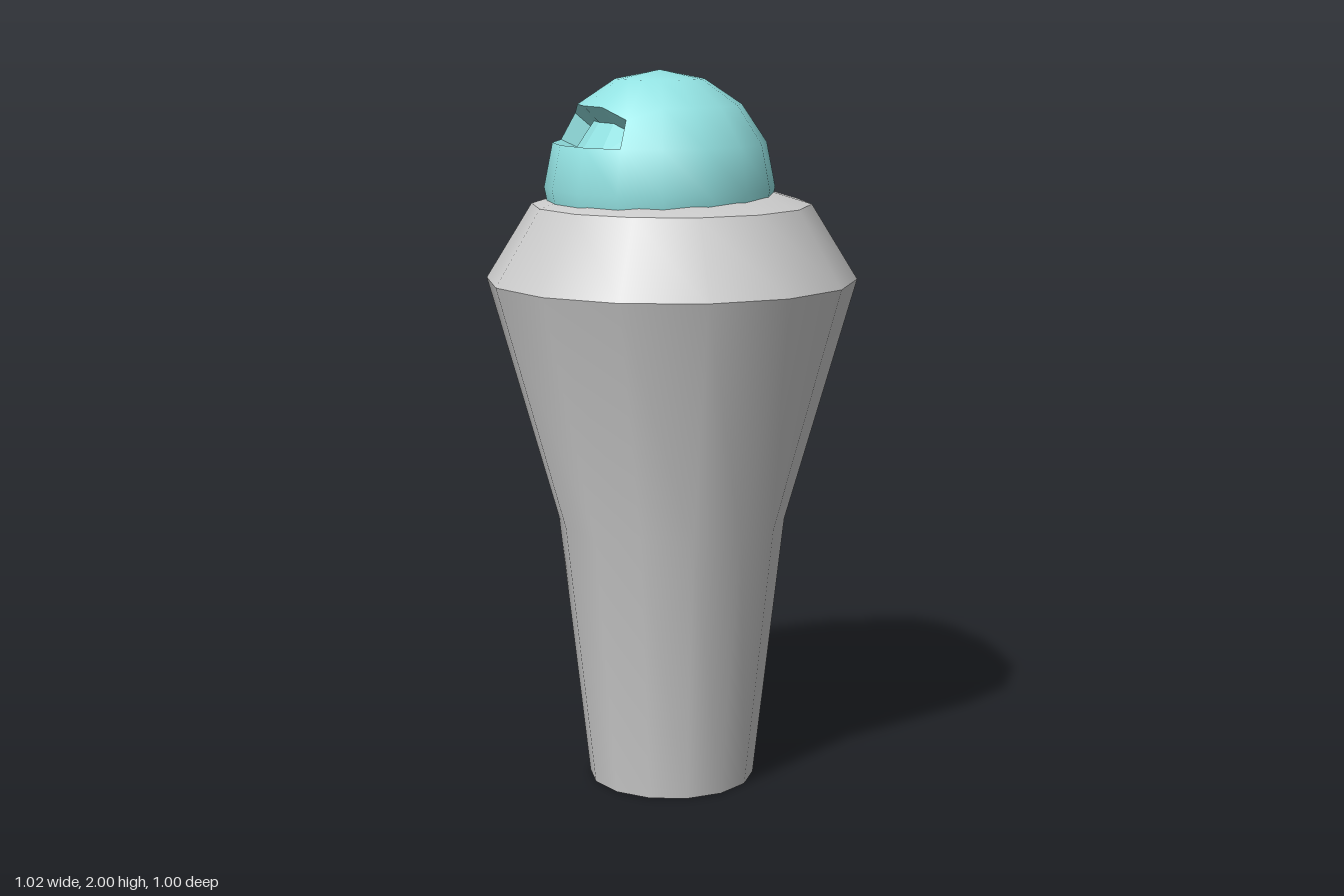
import * as THREE from 'three';

const rad = THREE.MathUtils.degToRad;

// One smooth band of the 14-sided body; separate bands keep their shared rims sharp
function band(name, points, material) {
  const profile = points.map(([r, y]) => new THREE.Vector2(r, y));
  const mesh = new THREE.Mesh(new THREE.LatheGeometry(profile, 14, Math.PI / 2), material);
  mesh.name = name;
  return mesh;
}

function createDome(material) {
  const SIDES = 16, R = 0.316, SLOT = 4; // the slot spans 4 columns
  const START = rad(-18.2);
  const dome = new THREE.Group();
  dome.name = 'dome';
  dome.position.set(-0.031, 1.684, 0.018);

  // Ball, starting its columns at the slot
  const geo = new THREE.SphereGeometry(R, SIDES, 8, START, Math.PI * 2);
  const pos = geo.attributes.position, nor = geo.attributes.normal;
  const id = (row, col) => row * (SIDES + 1) + col;

  // Lower the two upper corners so the slot's top edge is arched
  for (const col of [0, SLOT, SIDES]) {
    const phi = START + (col / SIDES) * Math.PI * 2, theta = rad(52);
    const n = new THREE.Vector3(
      -Math.cos(phi) * Math.sin(theta), Math.cos(theta), Math.sin(phi) * Math.sin(theta));
    nor.setXYZ(id(2, col), n.x, n.y, n.z);
    pos.setXYZ(id(2, col), n.x * R, n.y * R, n.z * R);
  }

  // Open the slot between the second and third rings
  const inSlot = (i) => {
    const row = Math.floor(i / (SIDES + 1)), col = i % (SIDES + 1);
    return (row === 2 || row === 3) && col <= SLOT;
  };
  const old = geo.index.array, kept = [];
  for (let i = 0; i < old.length; i += 3) {
    const tri = [old[i], old[i + 1], old[i + 2]];
    if (!tri.every(inSlot)) kept.push(...tri);
  }
  geo.setIndex(kept);
  const ball = new THREE.Mesh(geo, material);
  ball.name = 'domeBall';

  // Recess walls, running from the opening towards the ball's centre
  const corner = (row, col, depth) =>
    new THREE.Vector3().fromBufferAttribute(pos, id(row, col)).multiplyScalar(depth);
  const outTop = [], outBottom = [], inTop = [], inBottom = [];
  for (let c = 0; c <= SLOT; c++) {
    outTop.push(corner(2, c, 1));
    outBottom.push(corner(3, c, 1));
    inTop.push(corner(2, c, 0.8));
    inBottom.push(corner(3, c, 0.8));
  }
  const points = [];
  const quad = (a, b, c, d) => points.push(a, b, c, a, c, d);
  for (let c = 0; c < SLOT; c++) {
    quad(outBottom[c], outBottom[c + 1], inBottom[c + 1], inBottom[c]); // floor
    quad(inBottom[c], inBottom[c + 1], inTop[c + 1], inTop[c]);         // inner wall
    quad(inTop[c], inTop[c + 1], outTop[c + 1], outTop[c]);             // ceiling
  }
  quad(outBottom[0], inBottom[0], inTop[0], outTop[0]);
  quad(inBottom[SLOT], outBottom[SLOT], outTop[SLOT], inTop[SLOT]);
  const slotGeo = new THREE.BufferGeometry().setFromPoints(points);
  slotGeo.computeVertexNormals();
  const slot = new THREE.Mesh(slotGeo, material);
  slot.name = 'domeSlot';

  dome.add(ball, slot);
  return dome;
}

export function createModel() {
  const model = new THREE.Group();
  model.name = 'domedPost';
  const grey = new THREE.MeshStandardMaterial({ color: 0xcccccc });
  const teal = new THREE.MeshStandardMaterial({ color: 0x93e2e2 });

  model.add(
    band('base', [[0, 0], [0.234, 0]], grey),
    band('stem', [[0.234, 0], [0.318, 0.75], [0.512, 1.43]], grey),
    band('shoulder', [[0.512, 1.43], [0.385, 1.636]], grey),
    band('topLedge', [[0.385, 1.636], [0.28, 1.668], [0, 1.7]], grey),
    createDome(teal)
  );
  return model;
}
